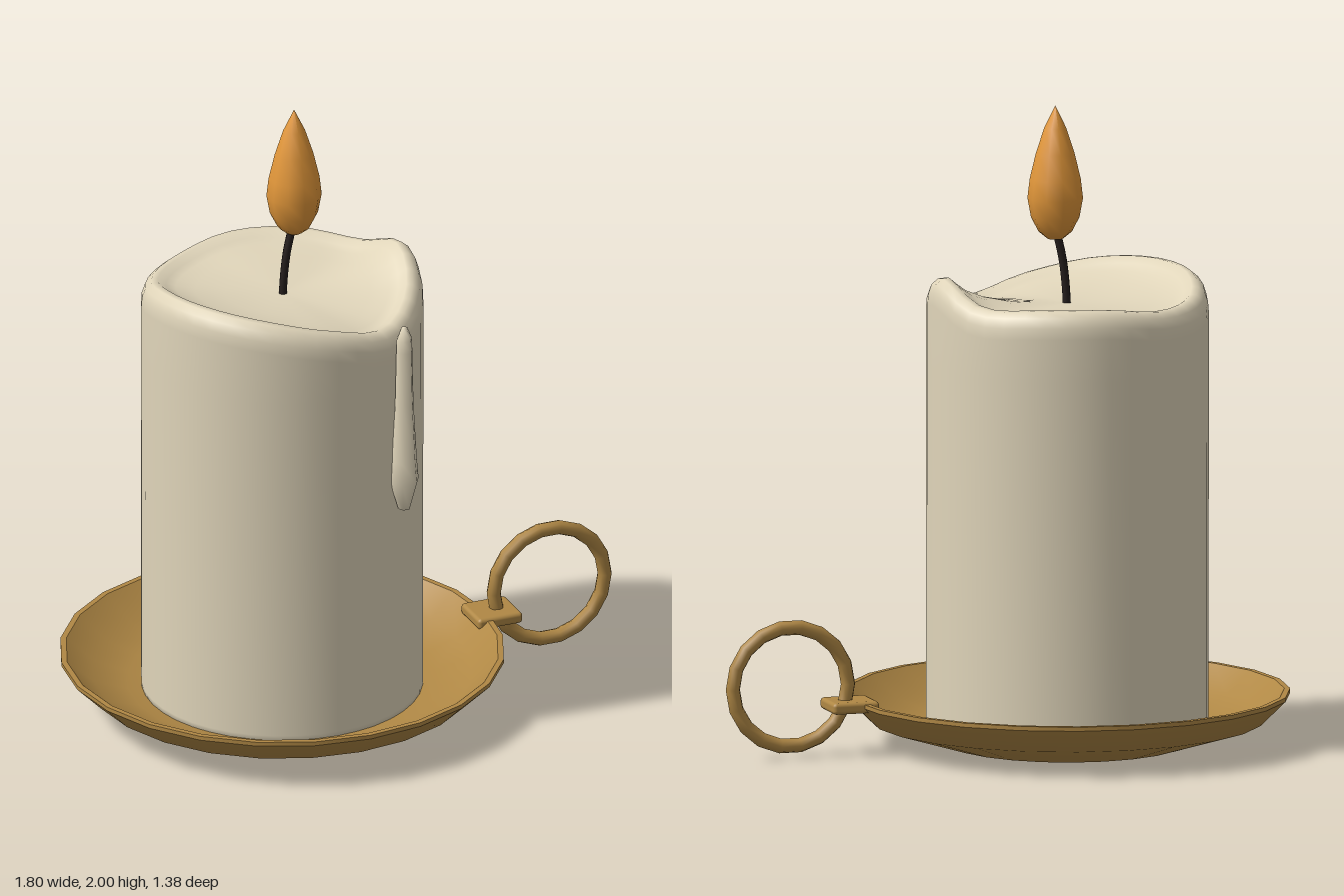
import * as THREE from 'three';
import { mergeVertices, toCreasedNormals } from 'three/addons/utils/BufferGeometryUtils.js';
import { RoundedBoxGeometry } from 'three/addons/geometries/RoundedBoxGeometry.js';

const material = (name, color) => Object.assign(new THREE.MeshStandardMaterial({ color }), { name });
const lathe = (profile, segments) =>
  new THREE.LatheGeometry(profile.map(([r, y]) => new THREE.Vector2(r, y)), segments);

// Height of the melted rim every 30 degrees, starting at +x and turning toward +z
const rimHeights = [1.48, 1.415, 1.365, 1.415, 1.46, 1.475, 1.46, 1.415, 1.4, 1.42, 1.42, 1.415];
const rimCurve = new THREE.CatmullRomCurve3(
  rimHeights.map((h) => new THREE.Vector3(0, h, 0)), true, 'catmullrom', 0.5);

function waxGeometry() {
  const floor = 1.38;
  // [radius, how far the height follows the rim (0..1), base height, drop below the rim]
  const rows = [
    [0, 0, 0.04, 0], [0.435, 0, 0.04, 0], [0.437, 0, 0.07, 0], [0.437, 0, 0.7, 0], [0.438, 0, 1.2, 0],
    [0.438, 1, 0, 0.085], [0.435, 1, 0, 0.05], [0.425, 1, 0, 0.02], [0.405, 1, 0, 0.003],
    [0.385, 1, 0, 0.001], [0.36, 0.9, floor, 0.012], [0.33, 0.68, floor, 0.012],
    [0.27, 0.4, floor, 0.008], [0.18, 0.15, floor, 0.003], [0.09, 0.03, floor, 0], [0, 0, floor, 0],
  ];
  const geometry = lathe(rows.map((row) => [row[0], 0]), 40);
  const position = geometry.attributes.position;
  for (let i = 0; i < position.count; i++) {
    const [, follow, base, drop] = rows[i % rows.length];
    const turn = Math.atan2(position.getZ(i), position.getX(i)) / (2 * Math.PI);
    const rim = rimCurve.getPoint((turn + 1) % 1).y;
    position.setY(i, base * (1 - follow) + rim * follow - drop);
  }
  // Weld the seam so the wax shades smoothly all round
  geometry.deleteAttribute('uv');
  geometry.deleteAttribute('normal');
  const welded = mergeVertices(geometry);
  welded.computeVertexNormals();
  return welded;
}

export function createModel() {
  const model = new THREE.Group();
  model.name = 'candleAndHolder';
  const wax = material('creamWax', 0xe0d5ba);
  const brass = material('brass', 0xb08845);
  const orange = material('flameOrange', 0xe2973a);
  const black = material('charredWick', 0x261f1d);
  const centreX = -0.21;

  const add = (name, geometry, mat, x = 0, y = 0, z = 0) => {
    const mesh = new THREE.Mesh(geometry, mat);
    mesh.name = name;
    mesh.position.set(x, y, z);
    model.add(mesh);
    return mesh;
  };

  // Shallow dish with a raised rim
  const dish = lathe([[0, 0], [0.37, 0], [0.61, 0.073], [0.69, 0.152], [0.69, 0.165],
    [0.672, 0.165], [0.59, 0.095], [0.48, 0.06], [0.36, 0.045], [0, 0.045]], 24);
  add('dish', toCreasedNormals(dish, 0.6), brass, centreX);

  // Candle body with a wavy lip and hollow top
  add('candle', waxGeometry(), wax, centreX);

  // Wax drip under the lowest point of the lip
  const drip = lathe([[0, 0.765], [0.02, 0.765], [0.048, 0.86], [0.042, 0.93], [0.031, 1.12],
    [0.027, 1.3], [0.026, 1.34], [0.01, 1.38], [0, 1.385]], 6);
  add('waxDrip', drip, wax, 0.035, 0, 0.385).rotation.y = Math.PI / 6;

  // Curved wick
  const wickPath = new THREE.CatmullRomCurve3([[-0.21, 1.36], [-0.205, 1.44], [-0.195, 1.52], [-0.172, 1.62]]
    .map(([x, y]) => new THREE.Vector3(x, y, 0.003)));
  add('wick', new THREE.TubeGeometry(wickPath, 10, 0.013, 8), black);

  // Teardrop flame
  const flame = lathe([[0, 1.58], [0.025, 1.583], [0.052, 1.605], [0.075, 1.65], [0.086, 1.71],
    [0.079, 1.77], [0.06, 1.85], [0.034, 1.93], [0, 2]], 10);
  add('flame', flame, orange, -0.172, 0, 0.005);

  // Finger ring and the tab joining it to the rim
  add('fingerRing', new THREE.TorusGeometry(0.187, 0.023, 8, 18), brass, 0.69, 0.222);
  add('ringTab', new RoundedBoxGeometry(0.15, 0.036, 0.145, 2, 0.012), brass, 0.497, 0.155);

  return model;
}
